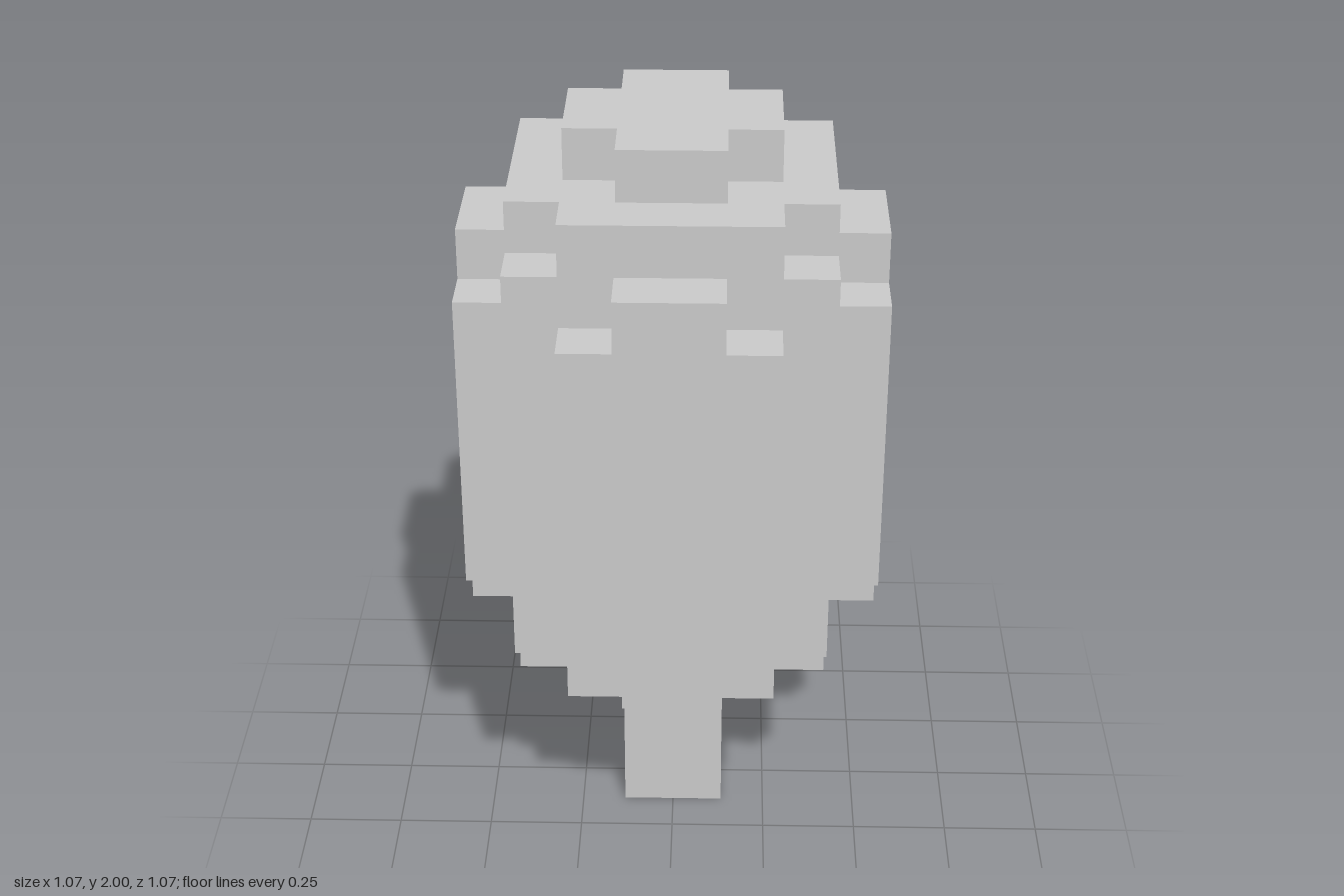
import * as THREE from 'three';

const U = 2 / 15; // one block

// Rectangle with a one-block square notch in every corner, extruded along +z
function notchedSlab(halfW, halfH, depth) {
  const w = halfW * U, h = halfH * U;
  const a = w - U, b = h - U;
  const shape = new THREE.Shape([
    [w, -b], [w, b], [a, b], [a, h], [-a, h], [-a, b],
    [-w, b], [-w, -b], [-a, -b], [-a, -h], [a, -h], [a, -b],
  ].map(([x, y]) => new THREE.Vector2(x, y)));
  return new THREE.ExtrudeGeometry(shape, { depth: depth * U, bevelEnabled: false });
}

export function createModel() {
  const group = new THREE.Group();
  const material = new THREE.MeshStandardMaterial({ color: 0xcccccc, flatShading: true });

  const add = (name, geometry) => {
    const mesh = new THREE.Mesh(geometry, material);
    mesh.name = name;
    group.add(mesh);
  };
  // Box and horizontal layer, both given by bottom row and height in blocks
  const box = (name, width, row, height) =>
    add(name, new THREE.BoxGeometry(width * U, height * U, width * U)
      .translate(0, (row + height / 2) * U, 0));
  const layer = (name, half, row) =>
    add(name, notchedSlab(half, half, 1).rotateX(-Math.PI / 2).translate(0, row * U, 0));

  // Trunk and the crown's stepped layers, bottom to top
  box('trunk', 2, 0, 3);
  layer('crownBase', 2, 3);
  layer('crownLowerStep', 3, 4);
  box('crownCore', 6, 5, 8);
  layer('crownUpperStep', 3, 13);
  layer('crownTop', 2, 14);

  // Raised panel on each of the four sides
  ['Front', 'Left', 'Back', 'Right'].forEach((side, i) => {
    add('crownPanel' + side, notchedSlab(2, 4, 1)
      .translate(0, 9 * U, 3 * U)
      .rotateY(i * Math.PI / 2));
  });

  return group;
}
